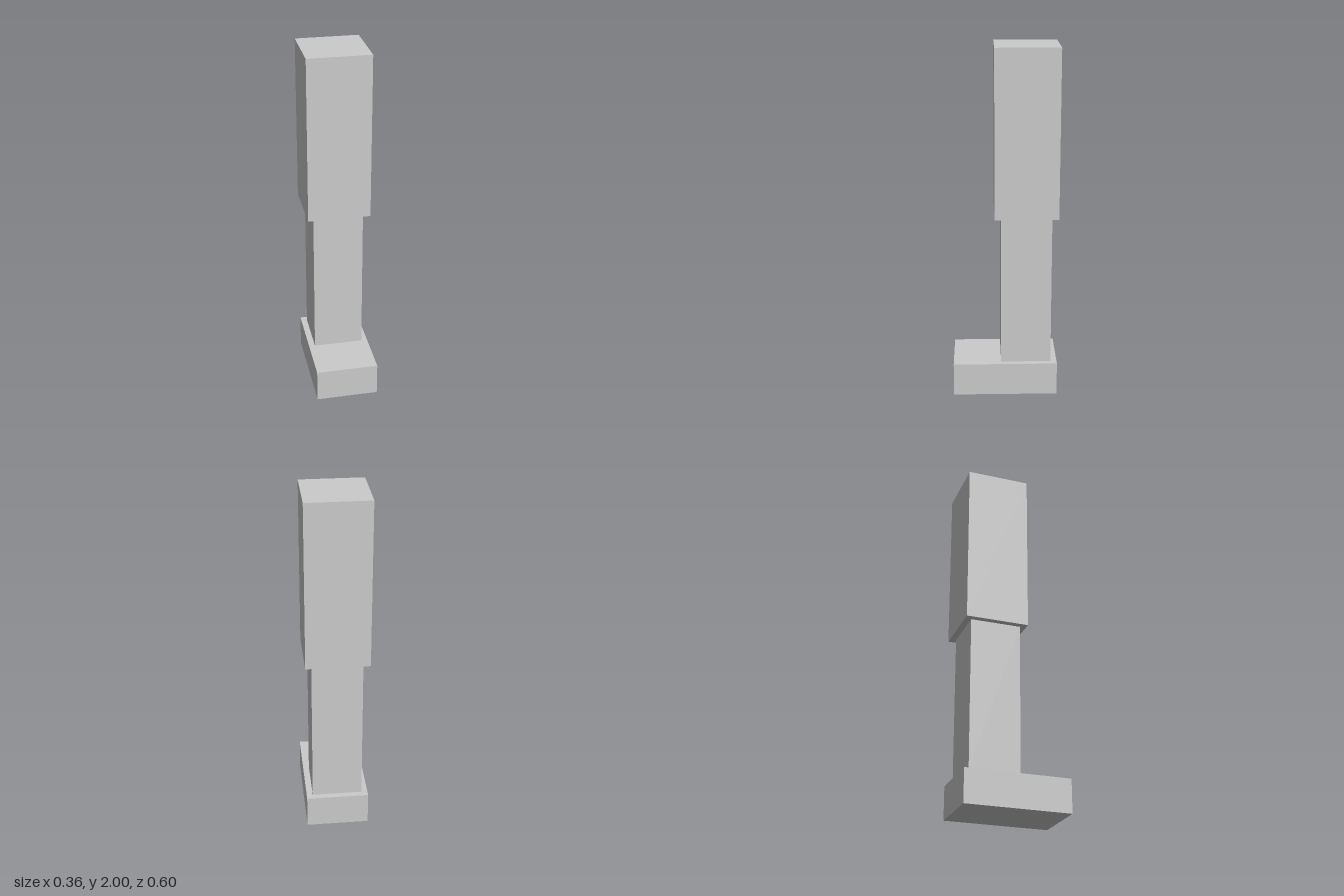
import * as THREE from 'three';

export function createModel() {
  const group = new THREE.Group();
  const material = new THREE.MeshStandardMaterial({ color: 0xcccccc, flatShading: true });

  // Square-edged block placed by its base height and centre depth
  function addBlock(name, width, depth, bottom, top, z) {
    const mesh = new THREE.Mesh(new THREE.BoxGeometry(width, top - bottom, depth), material);
    mesh.name = name;
    mesh.position.set(0, (bottom + top) / 2, z);
    group.add(mesh);
  }

  const legZ = -0.119; // leg axis sits toward the heel
  addBlock('foot', 0.357, 0.595, 0, 0.19, 0);
  addBlock('lowerLeg', 0.286, 0.286, 0.19, 1.055, legZ);
  addBlock('upperLeg', 0.357, 0.357, 1.055, 2, legZ);

  return group;
}
